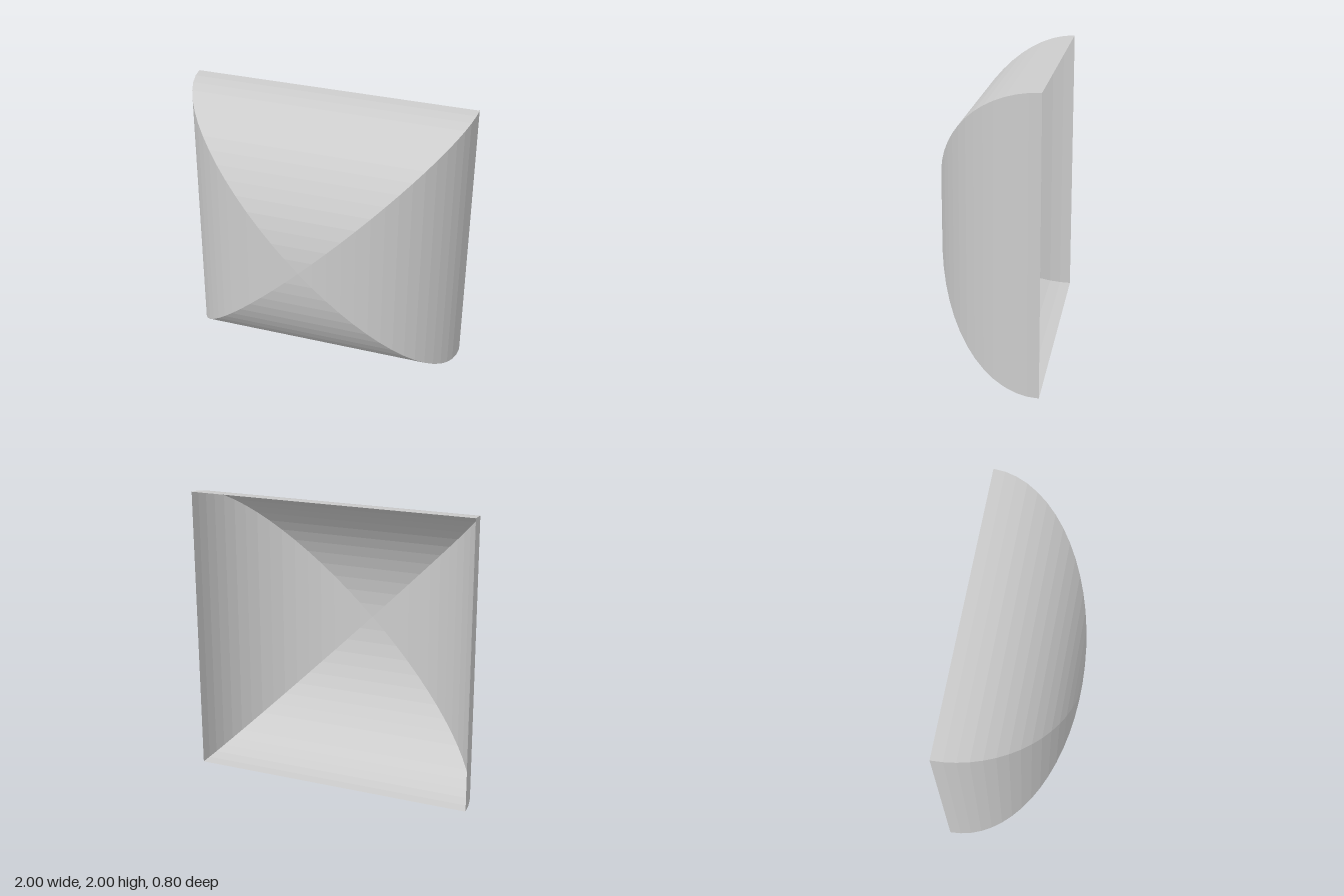
import * as THREE from 'three';

const STEPS = 16;   // flat strips from rim to apex
const DEPTH = 0.8;  // rise of the vault
const BACK = -0.4;  // plane of the open rim

// One triangular vault panel: strips on an elliptical arc, narrowing to the apex
function panelGeometry() {
  const geo = new THREE.PlaneGeometry(2, 1, 1, STEPS);
  const pos = geo.attributes.position;
  for (let i = 0; i < pos.count; i++) {
    const row = Math.floor(i / 2); // row 0 is the rim, the last row is the apex
    const a = (1 - row / STEPS) * Math.PI / 2;
    const s = Math.sin(a);
    pos.setXYZ(i, i % 2 ? s : -s, s, BACK + DEPTH * Math.cos(a));
  }
  // The strip at the apex is a single triangle
  geo.setIndex(Array.from(geo.index.array).slice(0, -3));
  const flat = geo.toNonIndexed();
  flat.computeVertexNormals();
  return flat;
}

export function createModel() {
  const model = new THREE.Group();
  model.name = 'cloisterVault';
  const material = new THREE.MeshStandardMaterial({
    color: 0xcccccc, flatShading: true, side: THREE.DoubleSide,
  });

  // Four equal panels around the apex, open at the back
  const geo = panelGeometry();
  ['topPanel', 'rightPanel', 'bottomPanel', 'leftPanel'].forEach((name, k) => {
    const panel = new THREE.Mesh(geo, material);
    panel.name = name;
    panel.position.y = 1;
    panel.rotation.z = k * Math.PI / 2;
    model.add(panel);
  });
  return model;
}
